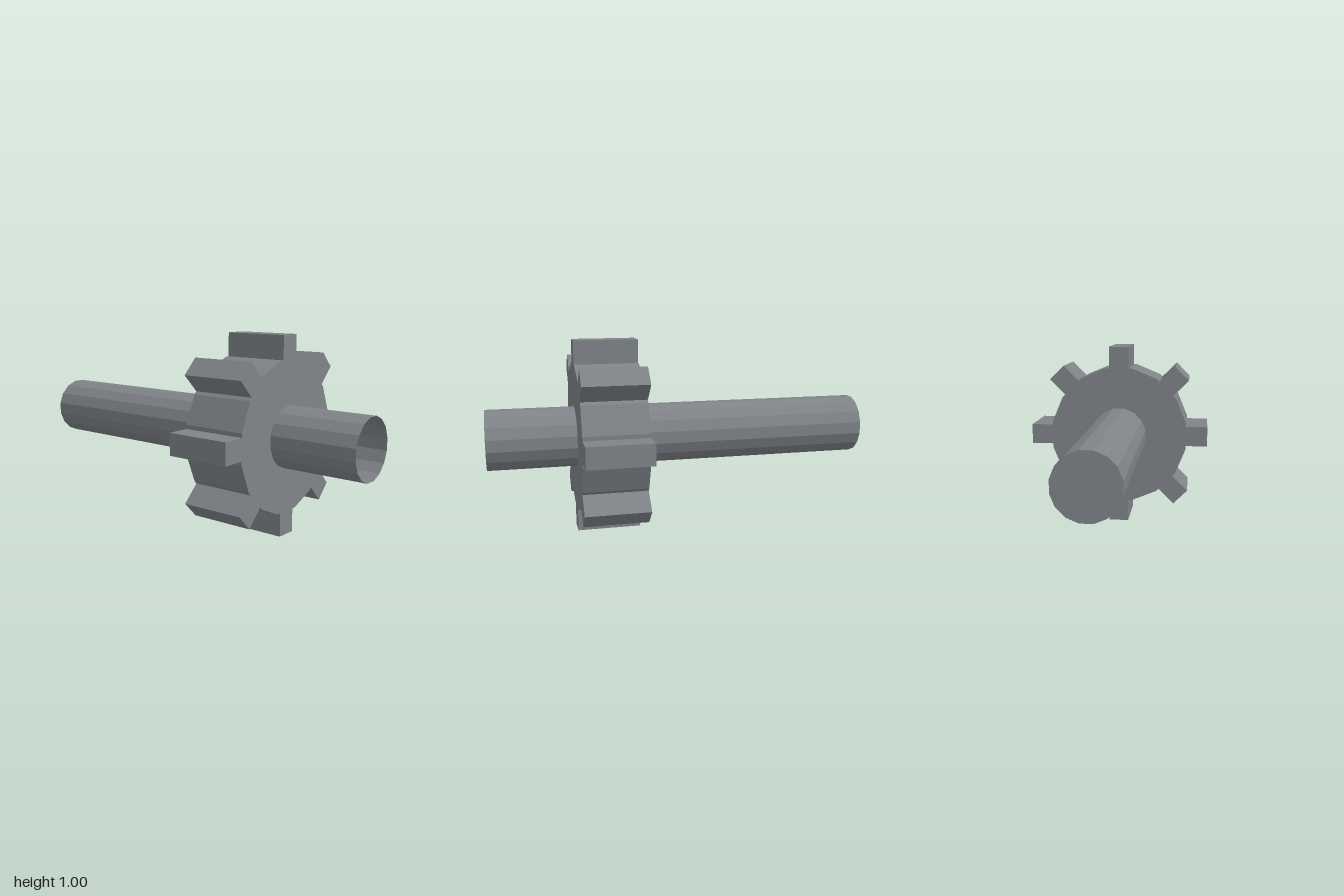
import * as THREE from 'three';

const SIDES = 16, TEETH = 8;
const AXLE_R = 0.1555, BODY_R = 0.387, TIP_R = 0.5, TOOTH_HALF = 0.055;
const GEAR_X = 0.22, GEAR_W = 0.33;

// Outline of the gear: a 16-sided disc with a straight tooth on every other side
function gearShape() {
  const half = Math.PI / SIDES;
  const flat = BODY_R * Math.cos(half), corner = BODY_R * Math.sin(half);
  const profile = [
    [flat, -corner], [flat, -TOOTH_HALF], [TIP_R, -TOOTH_HALF],
    [TIP_R, TOOTH_HALF], [flat, TOOTH_HALF], [flat, corner],
  ];
  const points = [];
  for (let i = 0; i < TEETH; i++) {
    const a = (i / TEETH) * Math.PI * 2;
    for (const [x, y] of profile) {
      points.push(new THREE.Vector2(x, y).rotateAround(new THREE.Vector2(), a));
    }
  }
  return new THREE.Shape(points);
}

export function createModel() {
  const model = new THREE.Group();
  model.name = 'gearOnAxle';
  const steel = new THREE.MeshStandardMaterial({ color: 0x7f8388, flatShading: true, side: THREE.DoubleSide });
  steel.name = 'steelGrey';

  const add = (name, geometry, x) => {
    const mesh = new THREE.Mesh(geometry, steel);
    mesh.name = name;
    mesh.position.set(x, 0.5, 0);
    model.add(mesh);
  };

  // Toothed wheel
  const gear = new THREE.ExtrudeGeometry(gearShape(), { depth: GEAR_W, bevelEnabled: false });
  add('gear', gear.rotateY(Math.PI / 2), GEAR_X);

  // Hollow axle, open at its left end
  const axle = new THREE.CylinderGeometry(AXLE_R, AXLE_R, 2, SIDES, 1, true);
  add('axle', axle.rotateY(Math.PI / SIDES).rotateZ(-Math.PI / 2), 0);

  // Cap closing the right end of the axle
  const cap = new THREE.CircleGeometry(AXLE_R, SIDES);
  add('axleCap', cap.rotateZ(Math.PI / SIDES).rotateY(-Math.PI / 2), -1);

  return model;
}
